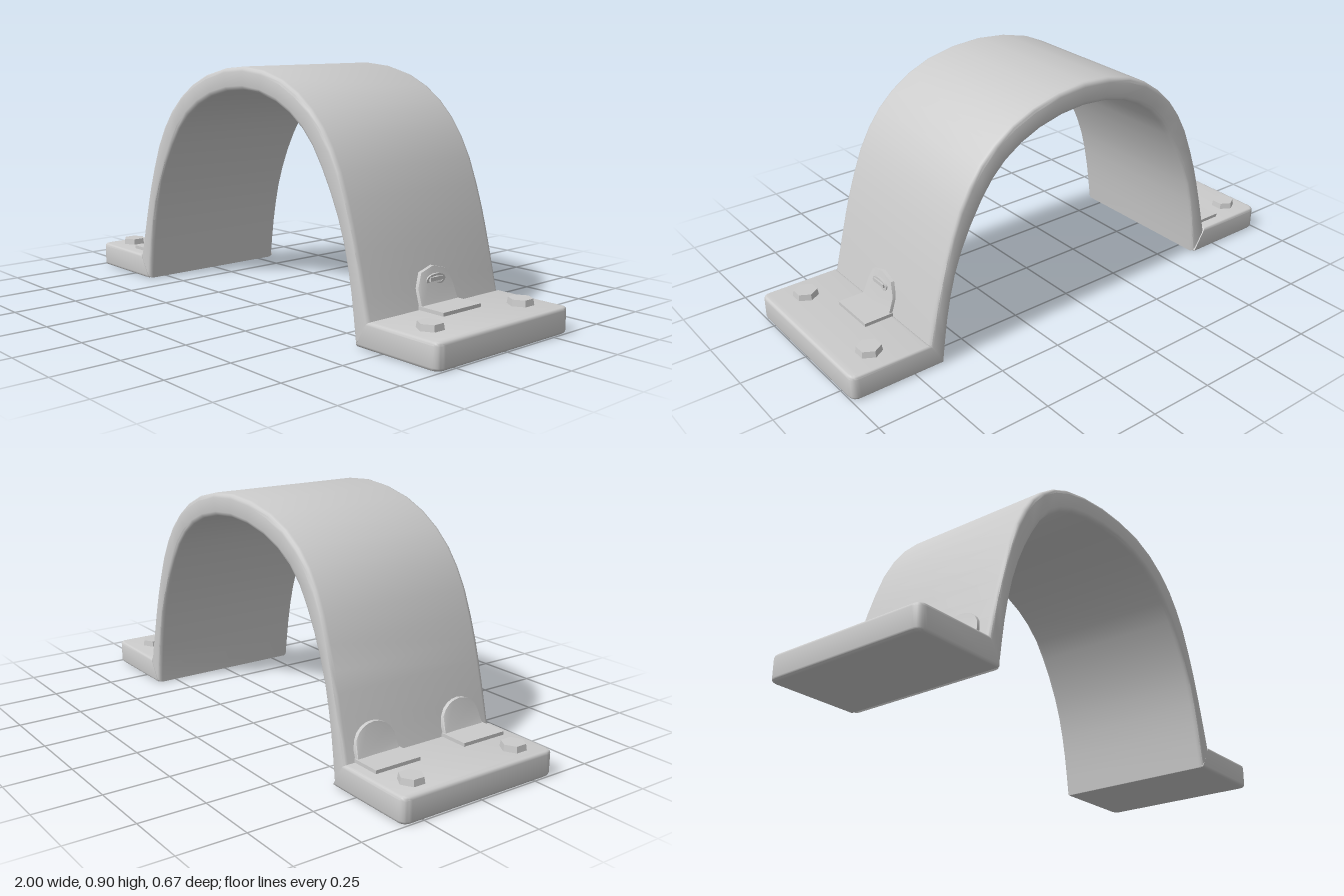
import * as THREE from 'three';
import { toCreasedNormals } from 'three/addons/utils/BufferGeometryUtils.js';

const material = new THREE.MeshStandardMaterial({ color: 0xcccccc });
const TOP = 0.095; // upper face of the feet

function add(parent, name, geometry, x = 0, y = 0, z = 0) {
  const mesh = new THREE.Mesh(geometry, material);
  mesh.name = name;
  mesh.position.set(x, y, z);
  parent.add(mesh);
  return mesh;
}

function bend(geometry, rule) {
  const p = geometry.attributes.position;
  const v = new THREE.Vector3();
  for (let i = 0; i < p.count; i++) {
    rule(v.fromBufferAttribute(p, i));
    p.setXYZ(i, v.x, v.y, v.z);
  }
  return toCreasedNormals(geometry, 0.6);
}

// Full arch curve from its right half, listed foot to crown
function archCurve(half) {
  const left = half.map(([x, y]) => new THREE.Vector3(-x, y, 0));
  const right = half.slice(0, -1).reverse().map(([x, y]) => new THREE.Vector3(x, y, 0));
  return new THREE.CatmullRomCurve3([...left, ...right]);
}

// Curved band with soft edges and slightly wavy sides
function archGeometry() {
  const outer = archCurve([[0.688, 0.09], [0.645, 0.26], [0.6, 0.42], [0.524, 0.615], [0.417, 0.755], [0.25, 0.86], [0, 0.905]]);
  const inner = archCurve([[0.628, 0], [0.604, 0.18], [0.56, 0.36], [0.475, 0.54], [0.37, 0.685], [0.215, 0.78], [0, 0.818]]);
  const bump = (x, c, w) => Math.exp(-(((x - c) / w) ** 2));
  const front = (x) => 0.335 - 0.022 * bump(x, -0.1, 0.35);
  const back = (x) => -0.333 + 0.014 * bump(x, -0.4, 0.2) - 0.006 * bump(x, 0.2, 0.25);

  // Rounded section: depth 0 (outside) to 1 (inside), side -1 or 1, inset from the edge
  const section = [];
  const r = 0.018, d = 0.2, steps = 3;
  [[-1, 0], [1, 0], [1, 1], [-1, 1]].forEach(([side, deep], corner) => {
    for (let k = 0; k <= steps; k++) {
      const a = (k / steps) * Math.PI / 2;
      const t = corner % 2 ? a : Math.PI / 2 - a;
      const depth = d * (1 - Math.cos(t));
      section.push({ side, depth: deep ? 1 - depth : depth, inset: r * (1 - Math.sin(t)) });
    }
  });

  const rings = 26, n = section.length;
  const positions = [], index = [];
  for (let i = 0; i <= rings; i++) {
    const o = outer.getPoint(i / rings), q = inner.getPoint(i / rings);
    for (const s of section) {
      const p = o.clone().lerp(q, s.depth);
      const z = s.side > 0 ? front(p.x) - s.inset : back(p.x) + s.inset;
      positions.push(p.x, p.y, z);
    }
  }
  for (let i = 0; i < rings; i++) {
    for (let j = 0; j < n; j++) {
      const a = i * n + j, c = i * n + (j + 1) % n;
      index.push(a, c, a + n, a + n, c, c + n);
    }
  }
  // End faces
  for (let j = 1; j < n - 1; j++) {
    index.push(0, j + 1, j);
    index.push(rings * n, rings * n + j, rings * n + j + 1);
  }
  const g = new THREE.BufferGeometry();
  g.setAttribute('position', new THREE.Float32BufferAttribute(positions, 3));
  g.setIndex(index);
  return toCreasedNormals(g, 0.6);
}

// Foot slab: rounded outer corners, inner end mitred against the arch
function footGeometry() {
  const a = 0.63, b = 1, h = 0.335, r = 0.035, bevel = 0.012;
  const s = new THREE.Shape();
  s.moveTo(a, -h);
  s.lineTo(b - r, -h);
  s.quadraticCurveTo(b, -h, b, -h + r);
  s.lineTo(b, h - r);
  s.quadraticCurveTo(b, h, b - r, h);
  s.lineTo(a, h);
  s.closePath();
  const g = new THREE.ExtrudeGeometry(s, {
    depth: TOP - 2 * bevel, bevelThickness: bevel, bevelSize: bevel, bevelOffset: -bevel,
    bevelSegments: 3, curveSegments: 6,
  });
  g.rotateX(-Math.PI / 2).translate(0, bevel, 0);
  return bend(g, (v) => { v.x += v.y * 0.6 * (b - v.x) / (b - a); });
}

// Upright flap that leans on the arch and flares at its root
function flapGeometry(shape) {
  const g = new THREE.ExtrudeGeometry(shape, { depth: 0.014, bevelEnabled: false, curveSegments: 10 });
  g.rotateY(Math.PI / 2);
  return bend(g, (v) => { v.x += 0.682 - v.y * 0.2 + 0.012 * Math.max(0, 1 - v.y / 0.05) ** 2; });
}

function addTab(parent, name, shape, z) {
  const tab = new THREE.Group();
  tab.name = name;
  tab.position.set(0, TOP, z);
  parent.add(tab);
  add(tab, 'tabPlate', new THREE.BoxGeometry(0.115, 0.014, 0.19), 0.748, 0.006, 0);
  add(tab, 'tabFlap', flapGeometry(shape));
  return tab;
}

export function createModel() {
  const model = new THREE.Group();
  model.name = 'archClamp';
  add(model, 'arch', archGeometry());

  const foot = footGeometry();
  const bolt = toCreasedNormals(new THREE.CylinderGeometry(0.044, 0.048, 0.024, 6), 0.4);
  const sides = {};
  for (const [name, turn, boltX] of [['left', 0, 0.87], ['right', Math.PI, 0.91]]) {
    const side = new THREE.Group();
    side.name = name + 'Side';
    side.rotation.y = turn;
    model.add(side);
    add(side, name + 'Foot', foot);
    for (const z of [-0.23, 0.23]) add(side, 'bolt', bolt, boltX, TOP + 0.011, z);
    sides[name] = side;
  }

  // Angular tab with a slotted eyelet on the left foot
  const angular = new THREE.Shape(
    [[-0.092, 0], [0.092, 0], [0.087, 0.07], [0.063, 0.12], [0, 0.137], [-0.063, 0.12], [-0.087, 0.07]]
      .map(([x, y]) => new THREE.Vector2(x, y)));
  const slotted = addTab(sides.left, 'slottedTab', angular, 0);
  const ring = new THREE.Shape().absellipse(0, 0, 0.047, 0.021, 0, Math.PI * 2);
  ring.holes.push(new THREE.Path().absellipse(0, 0, 0.038, 0.013, 0, Math.PI * 2, true));
  const eyelet = new THREE.ExtrudeGeometry(ring, { depth: 0.012, bevelEnabled: false, curveSegments: 12 });
  eyelet.rotateY(Math.PI / 2);
  add(slotted, 'eyelet', toCreasedNormals(eyelet, 0.6), 0.672, 0.09, 0);
  add(slotted, 'eyeletBar', new THREE.BoxGeometry(0.012, 0.014, 0.066), 0.683, 0.094, 0);

  // Two rounded tabs on the right foot
  const rounded = new THREE.Shape();
  rounded.moveTo(-0.09, 0);
  rounded.lineTo(0.09, 0);
  rounded.lineTo(0.088, 0.04);
  rounded.bezierCurveTo(0.08, 0.145, -0.08, 0.145, -0.088, 0.04);
  rounded.closePath();
  for (const z of [-0.195, 0.195]) addTab(sides.right, 'roundedTab', rounded, z);

  return model;
}
